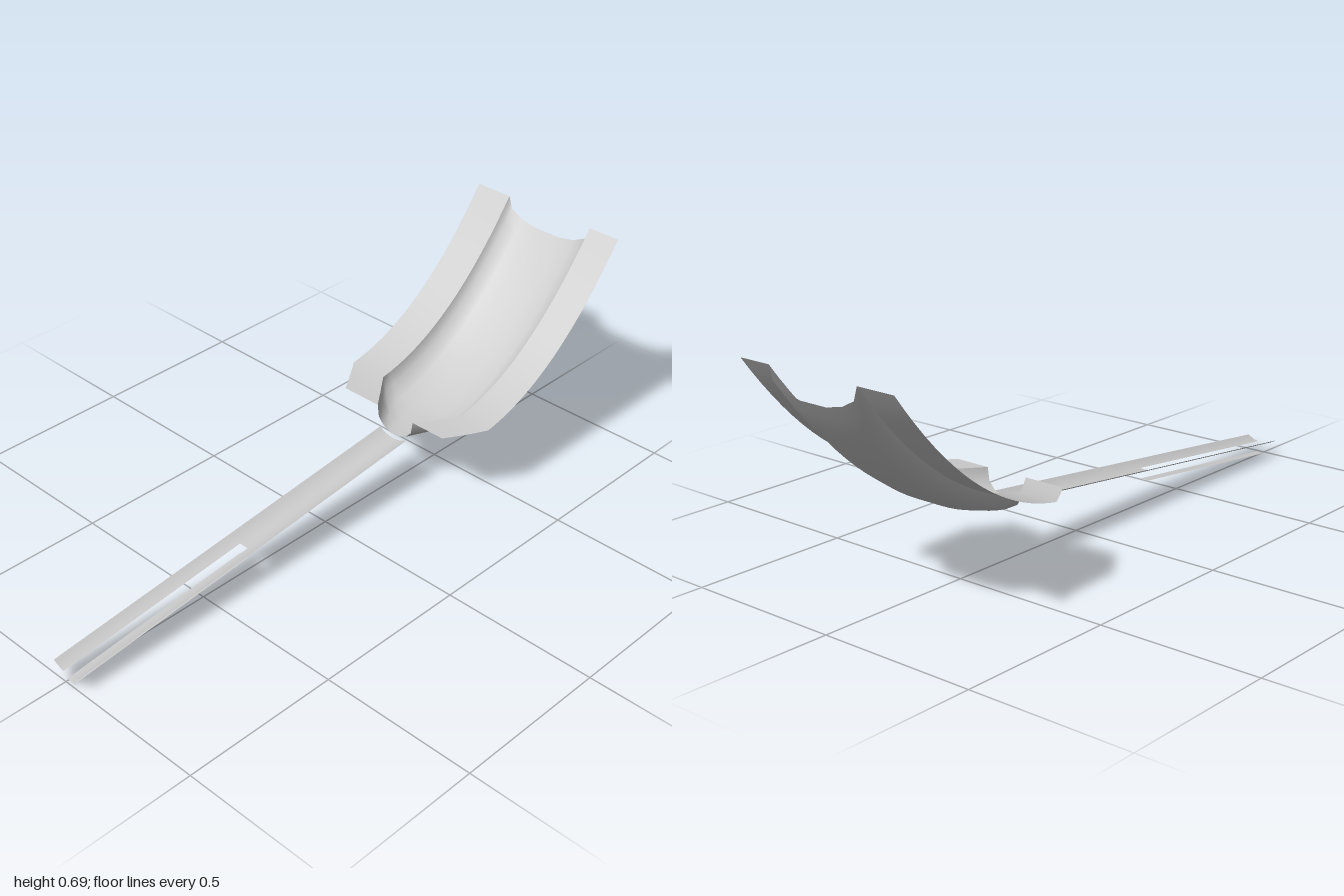
import * as THREE from 'three';

const CX = 0.009; // shared centre line of trough, gutter and strip
const material = new THREE.MeshStandardMaterial({ color: 0xcccccc, side: THREE.DoubleSide });

// Skin a sheet over cross-sections ordered front to back, points ordered along +x.
function loft(name, sections) {
  const n = sections[0].length;
  const index = [];
  for (let i = 0; i < sections.length - 1; i++) {
    for (let j = 0; j < n - 1; j++) {
      const a = i * n + j;
      index.push(a, a + 1, a + n, a + 1, a + n + 1, a + n);
    }
  }
  const geometry = new THREE.BufferGeometry();
  geometry.setAttribute('position', new THREE.Float32BufferAttribute(sections.flat(2), 3));
  geometry.setIndex(index);
  geometry.computeVertexNormals();
  const mesh = new THREE.Mesh(geometry, material);
  mesh.name = name;
  return mesh;
}

const mix = THREE.MathUtils.lerp;
const rimHeight = (z) => 0.258 + 0.431 * Math.pow((-0.295 - z) / 0.705, 2.25);

// Ramp stations: tapered mouth, then the constant-width curve
const stations = [-0.295, -0.355, -0.415];
for (let i = 1; i <= 18; i++) stations.push(-0.415 - (0.585 * i) / 18);
const taper = (z) => Math.min(1, (-0.295 - z) / 0.12);
const troughHalf = (z) => mix(0.072, 0.16, taper(z));
const flangeHalf = (z) => mix(0.2, 0.278, taper(z));

// Half-width and depth fractions of the trough
const profile = [
  [-1, 0], [-0.92, 0.54], [-0.65, 0.84], [-0.29, 1],
  [0.29, 1], [0.65, 0.84], [0.92, 0.54], [1, 0],
];

// Gutter is a shallow arc running down a straight slope
const gutterHalf = 0.055;
const gutterHeight = (z) => mix(0.189, 0.051, (z + 0.29) / 1.29);
function gutterSection(z, from, to, steps) {
  return Array.from({ length: steps + 1 }, (_, i) => {
    const x = mix(from, to, i / steps);
    return [CX + x, gutterHeight(z) - 0.018 * (1 - (x / gutterHalf) ** 2), z];
  });
}
const gutterPiece = (name, front, back, from, to, steps) =>
  loft(name, [front, back].map((z) => gutterSection(z, from, to, steps)));

export function createModel() {
  const group = new THREE.Group();

  // Curved ramp: trough and two flat flanges
  const ramp = new THREE.Group();
  ramp.name = 'ramp';
  ramp.add(loft('rampTrough', stations.map((z) =>
    profile.map(([u, d]) => [CX + u * troughHalf(z), rimHeight(z) - 0.074 * d, z]))));
  ramp.add(loft('rightFlange', stations.map((z) =>
    [[-flangeHalf(z), rimHeight(z), z], [CX - troughHalf(z), rimHeight(z), z]])));
  ramp.add(loft('leftFlange', stations.map((z) =>
    [[CX + troughHalf(z), rimHeight(z), z], [flangeHalf(z), rimHeight(z), z]])));
  group.add(ramp);

  // Gutter: whole at the back, split by a slot towards the front
  const slotBack = 0.345, slotHalf = 0.016;
  const gutter = new THREE.Group();
  gutter.name = 'gutter';
  gutter.add(gutterPiece('gutterBack', slotBack, -0.29, -gutterHalf, gutterHalf, 12));
  gutter.add(gutterPiece('gutterRightRail', 1, slotBack, -gutterHalf, -slotHalf, 5));
  gutter.add(gutterPiece('gutterLeftRail', 1, slotBack, slotHalf, gutterHalf, 5));
  group.add(gutter);

  // Thin strip hanging below the slot
  group.add(loft('lowerStrip', [[0.99, 0.001], [slotBack, 0.07]].map(([z, y]) =>
    [[CX - slotHalf, y, z], [CX + slotHalf, y, z]])));

  return group;
}
